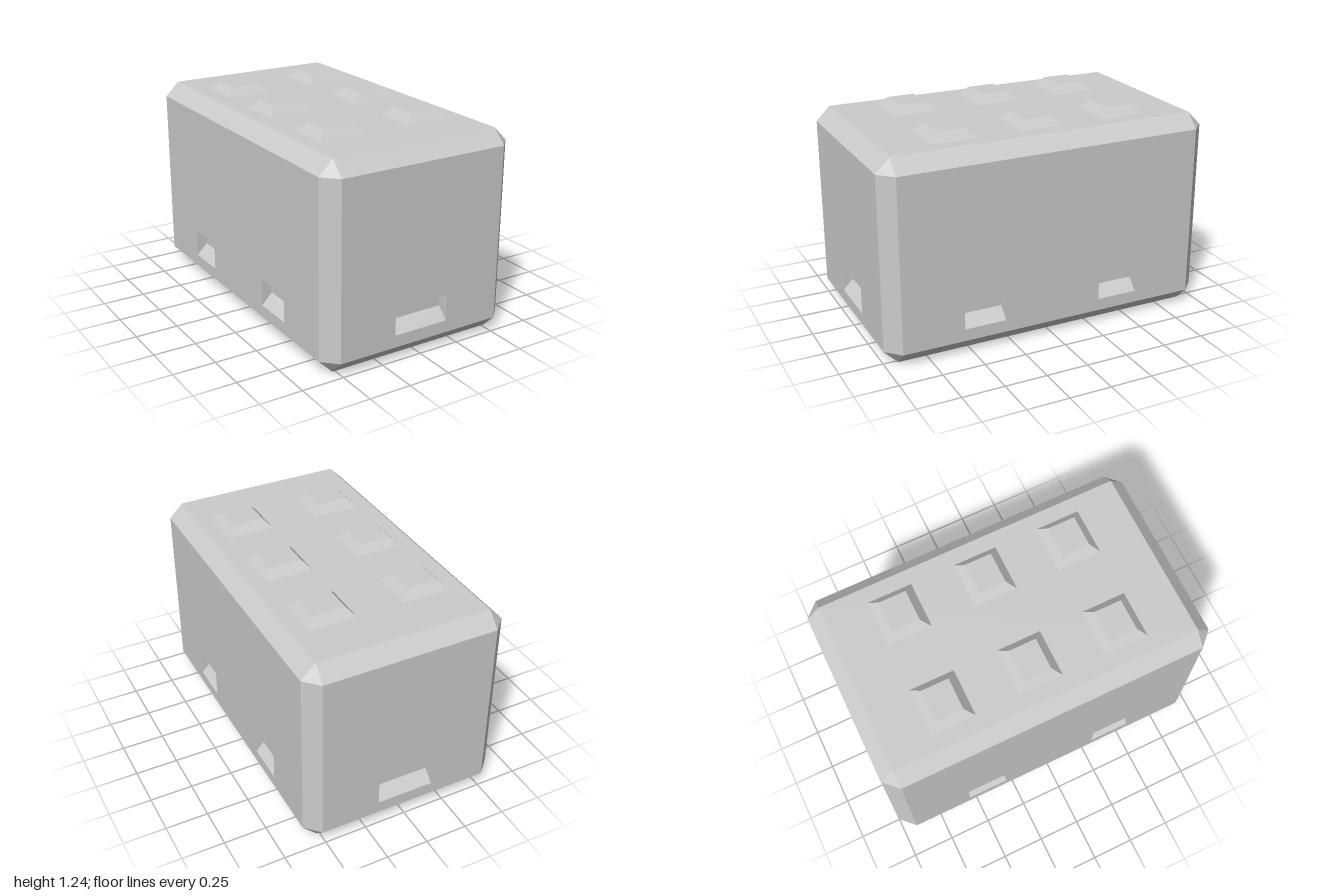
import * as THREE from 'three';

const W = 0.6, H = 1.19, D = 1.0, C = 0.083; // half width, height, half depth, chamfer
const LOW = 0.155, HIGH = 0.315, SILL = 0.22, DEPTH = 0.065; // slot heights and depth

const material = new THREE.MeshStandardMaterial({ color: 0xcccccc, flatShading: true });

// Flat convex faces, each a counter-clockwise list of [x, y, z] corners
function facesGeometry(faces) {
  const pos = [];
  for (const f of faces)
    for (let i = 1; i < f.length - 1; i++) pos.push(...f[0], ...f[i], ...f[i + 1]);
  const g = new THREE.BufferGeometry();
  g.setAttribute('position', new THREE.Float32BufferAttribute(pos, 3));
  g.computeVertexNormals();
  return g;
}

function addMesh(parent, name, geometry) {
  const mesh = new THREE.Mesh(geometry, material);
  mesh.name = name;
  parent.add(mesh);
  return mesh;
}

// Chamfer strips, corner triangles, lid and base of the body
function shellGeometry() {
  const half = [W, H / 2, D];
  // Corner of the flat face on one axis, for the given signs
  const corner = (axis, s) => s.map((v, i) => v * (half[i] - (i === axis ? 0 : C)));
  const faces = [];
  const addOutward = (pts) => {
    const [a, b, c] = pts.map((p) => new THREE.Vector3(...p));
    const n = b.clone().sub(a).cross(c.clone().sub(a));
    faces.push(n.dot(a) < 0 ? pts.reverse() : pts);
  };
  for (const s of [-1, 1]) {
    addOutward([[-1, -1], [1, -1], [1, 1], [-1, 1]].map(([x, z]) => corner(1, [x, s, z])));
    for (const t of [-1, 1]) {
      for (let along = 0; along < 3; along++) {
        const a = (along + 1) % 3, b = (along + 2) % 3;
        const signs = (u) => { const v = []; v[along] = u; v[a] = s; v[b] = t; return v; };
        addOutward([corner(a, signs(-1)), corner(a, signs(1)), corner(b, signs(1)), corner(b, signs(-1))]);
      }
      for (const u of [-1, 1]) addOutward([0, 1, 2].map((axis) => corner(axis, [s, t, u])));
    }
  }
  return facesGeometry(faces).translate(0, H / 2, 0);
}

// Flat wall facing +z, with slot openings [x0, x1]
function wallGeometry(halfWidth, slots) {
  const rect = (path, x0, x1, y0, y1) =>
    path.moveTo(x0, y0).lineTo(x1, y0).lineTo(x1, y1).lineTo(x0, y1).closePath();
  const shape = rect(new THREE.Shape(), -halfWidth, halfWidth, C, H - C);
  for (const [x0, x1] of slots) shape.holes.push(rect(new THREE.Path(), x0, x1, LOW, HIGH));
  return new THREE.ShapeGeometry(shape);
}

// Inside of a slot with a sloping sill
function slotGeometry(x0, x1) {
  const z = -DEPTH;
  return facesGeometry([
    [[x0, SILL, z], [x1, SILL, z], [x1, HIGH, z], [x0, HIGH, z]],
    [[x0, LOW, 0], [x1, LOW, 0], [x1, SILL, z], [x0, SILL, z]],
    [[x0, HIGH, z], [x1, HIGH, z], [x1, HIGH, 0], [x0, HIGH, 0]],
    [[x0, LOW, 0], [x0, SILL, z], [x0, HIGH, z], [x0, HIGH, 0]],
    [[x1, LOW, 0], [x1, HIGH, 0], [x1, HIGH, z], [x1, SILL, z]],
  ]);
}

// Truncated pyramid for the lid
function studGeometry() {
  const g = new THREE.BoxGeometry(0.283, 0.05, 0.263);
  const p = g.attributes.position;
  for (let i = 0; i < p.count; i++)
    if (p.getY(i) > 0) p.setXYZ(i, Math.sign(p.getX(i)) * 0.095, p.getY(i), Math.sign(p.getZ(i)) * 0.082);
  g.computeVertexNormals();
  return g;
}

export function createModel() {
  const model = new THREE.Group();
  model.name = 'crate';
  addMesh(model, 'chamferedShell', shellGeometry());

  // Four walls: one slot on front and back, two on each side
  const endSlots = [[-0.17, 0.17]];
  const sideSlots = [[-0.55, -0.3], [0.3, 0.55]];
  ['front', 'left', 'back', 'right'].forEach((name, i) => {
    const side = i % 2 === 1;
    const slots = side ? sideSlots : endSlots;
    const wall = new THREE.Group();
    wall.name = name + 'Wall';
    addMesh(wall, name + 'Panel', wallGeometry((side ? D : W) - C, slots));
    for (const [x0, x1] of slots) addMesh(wall, name + 'Slot', slotGeometry(x0, x1));
    wall.rotation.y = (i * Math.PI) / 2;
    wall.position.set([0, W, 0, -W][i], 0, [D, 0, -D, 0][i]);
    model.add(wall);
  });

  // Two rows of three studs on the lid
  const stud = studGeometry();
  for (const x of [-0.285, 0.283])
    for (const z of [-0.527, -0.004, 0.52])
      addMesh(model, 'lidStud', stud).position.set(x, H + 0.025, z);

  return model;
}
